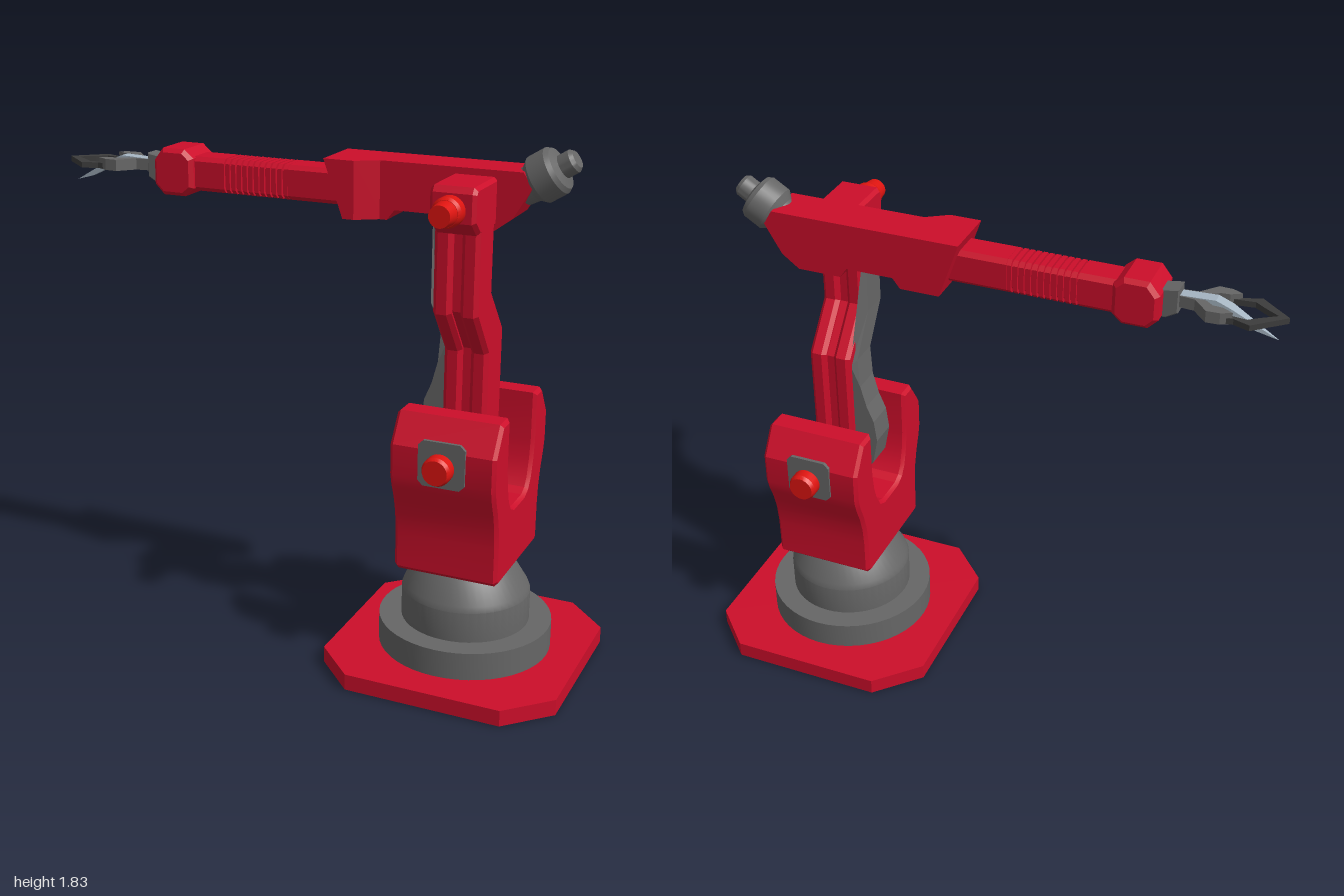
import * as THREE from 'three';
import { toCreasedNormals } from 'three/addons/utils/BufferGeometryUtils.js';
import { ConvexGeometry } from 'three/addons/geometries/ConvexGeometry.js';

const material = (name, color) => {
  const m = new THREE.MeshStandardMaterial({ color });
  m.name = name;
  return m;
};

export function createModel() {
  const red = material('crimson paint', 0xcc0e2a);
  const boltRed = material('bright red', 0xdd1410);
  const grey = material('metal grey', 0x666666);
  const dark = material('dark grey', 0x3c3c3c);
  const steel = material('pale steel', 0xa6b5c2);
  const root = new THREE.Group();
  root.name = 'robotArm';
  const AXIS = 0.573; // x of the column

  const add = (name, geometry, mat, x = 0, y = 0, z = 0) => {
    const mesh = new THREE.Mesh(geometry, mat);
    mesh.name = name;
    mesh.position.set(x, y, z);
    root.add(mesh);
    return mesh;
  };
  const slab = (points, from, to, bevel) => {
    const shape = new THREE.Shape(points.map(p => new THREE.Vector2(...p)));
    const g = new THREE.ExtrudeGeometry(shape, {
      depth: to - from - 2 * bevel, bevelEnabled: bevel > 0, bevelThickness: bevel,
      bevelSize: bevel, bevelOffset: -bevel, bevelSegments: 1,
    });
    return g.translate(0, 0, from + bevel);
  };
  // (x, y) outline swept along z
  const alongZ = (points, z0, z1, bevel = 0) => slab(points, z0, z1, bevel);
  // (z, y) outline swept along x
  const alongX = (points, x0, x1, bevel = 0) =>
    slab(points.map(([z, y]) => [-z, y]), x0, x1, bevel).rotateY(Math.PI / 2);
  // (x, z) outline swept along y
  const alongY = (points, y0, y1, bevel = 0) =>
    slab(points.map(([x, z]) => [x, -z]), y0, y1, bevel).rotateX(-Math.PI / 2);
  // [radius, height] profile turned round y
  const turned = (profile, segments = 40) => toCreasedNormals(
    new THREE.LatheGeometry(profile.map(p => new THREE.Vector2(...p)), segments), 0.4);
  const octagon = (w, h, c, cx = 0, cy = 0) => [
    [w - c, -h], [w, c - h], [w, h - c], [w - c, h], [c - w, h], [-w, h - c], [-w, c - h], [c - w, -h],
  ].map(([x, y]) => [x + cx, y + cy]);

  // Base plate and turntable
  add('basePlate', alongY(octagon(0.425, 0.425, 0.147), 0.002, 0.06), red, 0.575);
  add('turntable', turned([[0, 0], [0.305, 0], [0.305, 0.16], [0.226, 0.16], [0.226, 0.27], [0.218, 0.29],
    [0.172, 0.365], [0.16, 0.377], [0.136, 0.377], [0.136, 0.4], [0, 0.4]], 48), grey, 0.575);

  // U-shaped shoulder yoke
  const half = [[0.205, 0.39], [0.22, 0.405], [0.22, 0.53], [0.227, 0.6], [0.243, 0.66], [0.265, 0.715],
    [0.277, 0.76], [0.277, 0.87], [0.21, 0.97], [0.137, 0.97], [0.137, 0.8], [0.128, 0.735],
    [0.108, 0.67], [0.087, 0.64], [0.055, 0.625]];
  const yoke = [...half, ...half.map(([z, y]) => [-z, y]).reverse()];
  add('yoke', toCreasedNormals(alongX(yoke, 0.387, 0.757, 0.012), 0.35), red);
  add('shoulderAxle', new THREE.CylinderGeometry(0.046, 0.046, 0.3, 32).rotateX(Math.PI / 2), grey, AXIS, 0.82);

  // Bolt heads, base at the given z and pointing along side * z
  const bolt = (name, y, z, side) => {
    const g = turned([[0.036, -0.01], [0.036, 0.008], [0.05, 0.015], [0.05, 0.05], [0.043, 0.064], [0, 0.064]], 28);
    add(name, g.rotateX(side * Math.PI / 2), boltRed, AXIS, y, z);
  };
  for (const side of [1, -1]) {
    const name = side > 0 ? 'front' : 'back';
    add(name + 'BoltPlate', alongZ(octagon(0.082, 0.08, 0.018), -0.006, 0.006), grey, AXIS, 0.825, side * 0.278);
    bolt(name + 'YokeBolt', 0.82, side * 0.281, side);
  }

  // Cranked lower arm: two side rails with a recessed web between
  const crank = i => [[0.08 - i, 0.7], [0.08 - i, 1.155 + i / 2], [0.2 - i, 1.31 + i / 2], [0.2 - i, 1.62],
    [0.055 + i, 1.62], [0.055 + i, 1.37 - i / 2], [i - 0.075, 1.216 - i / 2], [i - 0.075, 0.7]].reverse();
  for (const [name, x0, x1] of [['right', 0.495, 0.558], ['left', 0.588, 0.65]]) {
    add(name + 'ArmRail', alongX(crank(0), x0, x1, 0.014), red);
  }
  add('armWeb', alongX(crank(0.02), 0.55, 0.596), red);
  add('armHub', alongZ([[0.525, 0.682], [0.62, 0.682], [0.67, 0.8], [0.655, 0.885], [0.49, 0.885], [0.475, 0.8]],
    -0.075, 0.08), red);
  add('elbowBlock', alongX([[0.04, 1.58], [0.04, 1.74], [0.235, 1.74], [0.25, 1.72], [0.25, 1.625], [0.2, 1.58]],
    0.495, 0.65, 0.012), red);
  bolt('elbowBolt', 1.668, 0.25, 1);
  add('elbowBoltCap', new THREE.CylinderGeometry(0.036, 0.042, 0.05, 28).rotateX(Math.PI / 2), boltRed, AXIS, 1.668, 0.338);

  // Metal guard following the crank of the arm
  const guard = alongZ([[0.5, 0.7], [0.5, 1.18], [0.5, 1.34], [0.5, 1.62], [0.483, 1.62], [0.483, 1.34],
    [0.479, 1.2], [0.466, 1.1], [0.445, 1.02], [0.42, 0.96], [0.41, 0.88], [0.43, 0.78]], -0.052, 0.052);
  const gp = guard.attributes.position;
  for (let i = 0; i < gp.count; i++) {
    const t = THREE.MathUtils.clamp((gp.getY(i) - 1.18) / 0.16, 0, 1);
    gp.setZ(i, gp.getZ(i) + 0.125 * t);
  }
  guard.computeVertexNormals();
  add('armGuard', guard, grey);

  // Forearm housing with a flared front corner
  add('forearmHousing', alongZ([[0.06, 1.762], [0.13, 1.565], [0.27, 1.565], [0.297, 1.6], [0.465, 1.6],
    [0.49, 1.565], [0.645, 1.565], [0.705, 1.61], [0.765, 1.712], [0.735, 1.762]], -0.105, 0.047), red);
  const flare = [];
  for (const [z, x] of [[0.04, 0.255], [0.095, 0.17]]) {
    for (const p of [[0.06, 1.762], [x, 1.762], [x, 1.565], [0.13, 1.565]]) flare.push(new THREE.Vector3(...p, z));
  }
  add('housingFlare', new ConvexGeometry(flare), red);

  // Elbow motor tilted up at the rear
  const motor = add('elbowMotor', turned([[0, -0.04], [0.058, -0.04], [0.062, 0], [0.082, 0.025], [0.082, 0.09],
    [0.072, 0.105], [0.04, 0.115], [0.04, 0.155], [0.03, 0.167], [0, 0.167]], 32), grey, 0.745, 1.716, -0.025);
  motor.rotation.z = -1.012;

  // Forearm tube with a ribbed section
  const tube = (w, c) => octagon(w, w, c, -0.003, 1.66);
  add('forearmRear', alongX(tube(0.06, 0.015), -0.09, 0.12), red);
  add('forearmFront', alongX(tube(0.06, 0.015), -0.48, -0.335), red);
  add('ribbedCore', alongX(tube(0.051, 0.013), -0.34, -0.08), red);
  for (let i = 0; i < 11; i++) {
    const x = -0.328 + i * 0.0222;
    add('rib' + (i + 1), alongX(tube(0.06, 0.015), x, x + 0.015), red);
  }

  // Wrist knuckle
  add('wristKnuckle', alongZ([[-0.57, 1.58], [-0.485, 1.58], [-0.45, 1.61], [-0.45, 1.715], [-0.485, 1.745],
    [-0.57, 1.745], [-0.605, 1.7], [-0.605, 1.615]], -0.083, 0.079, 0.014), red);
  add('wristSocket', alongZ([[-0.655, 1.63], [-0.615, 1.607], [-0.59, 1.607], [-0.59, 1.705], [-0.655, 1.715]],
    -0.032, 0.032, 0.004), grey);

  // Gripper: two side fingers and one dropping centre finger
  const fingerBase = [[-0.64, 0.004], [-0.72, 0.004], [-0.765, 0.042], [-0.8, 0.045], [-0.835, 0.065],
    [-0.8, 0.082], [-0.755, 0.084], [-0.705, 0.028], [-0.64, 0.022]];
  const fingerTip = [[-0.8, 0.05], [-0.88, 0.058], [-0.915, 0.032], [-0.965, 0], [-1, 0],
    [-0.935, 0.055], [-0.895, 0.09], [-0.84, 0.07], [-0.8, 0.076]];
  for (const side of [1, -1]) {
    const name = side > 0 ? 'front' : 'back';
    const place = pts => pts.map(([x, z]) => [x, side * z]);
    add(name + 'FingerBase', alongY(place(fingerBase), 1.65, 1.69), grey);
    add(name + 'FingerTip', alongY(place(fingerTip), 1.652, 1.672), dark);
  }
  const spike = alongZ([[-0.64, 1.66], [-0.64, 1.69], [-0.77, 1.695], [-0.82, 1.675], [-0.975, 1.588],
    [-0.9, 1.61], [-0.82, 1.65], [-0.76, 1.67]], -0.02, 0.02);
  const sp = spike.attributes.position;
  for (let i = 0; i < sp.count; i++) {
    sp.setZ(i, sp.getZ(i) * THREE.MathUtils.clamp((sp.getX(i) + 0.98) / 0.16, 0.05, 1));
  }
  spike.computeVertexNormals();
  add('centreFinger', spike, steel);

  return root;
}
